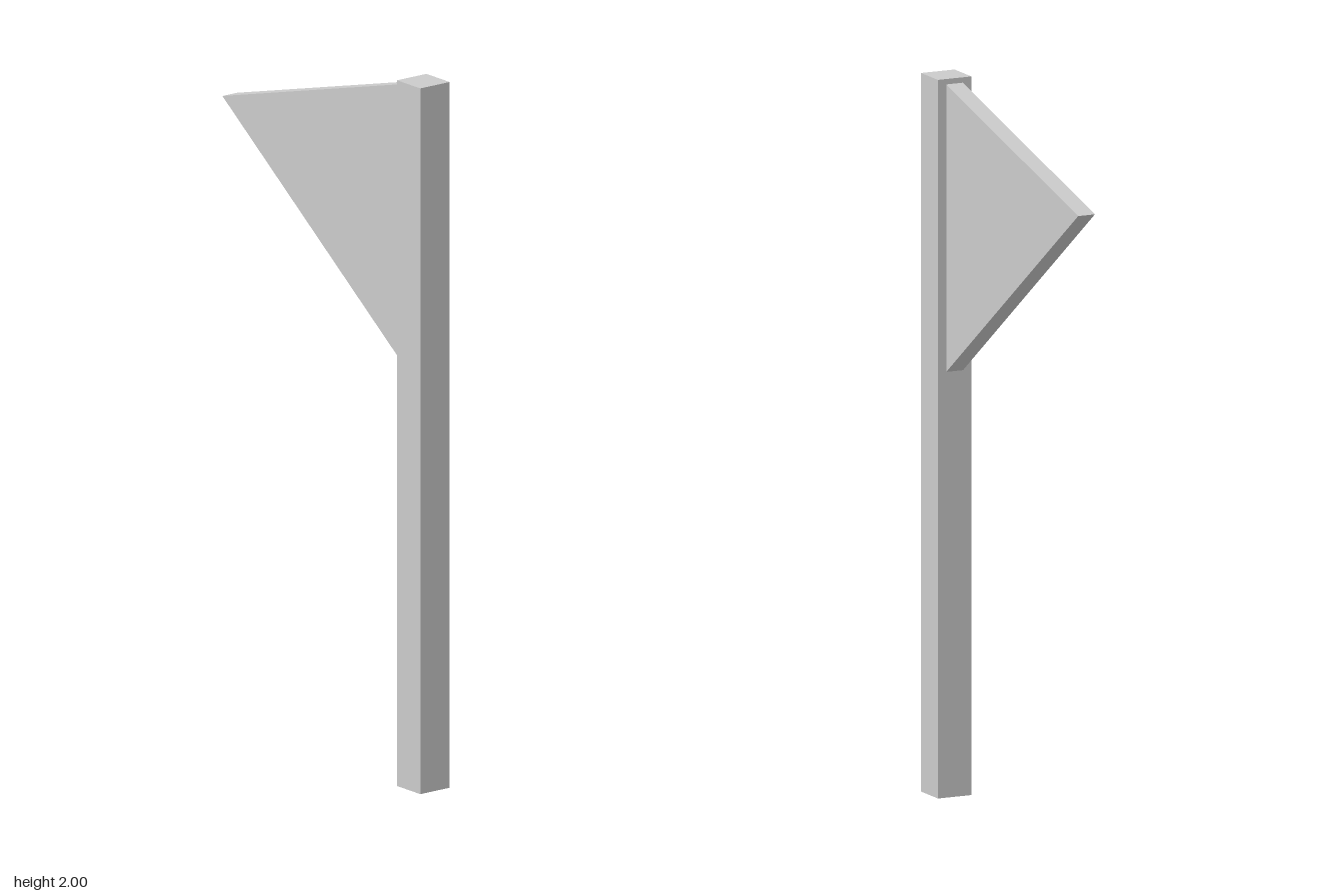
import * as THREE from 'three';

export function createModel() {
  const group = new THREE.Group();
  const material = new THREE.MeshStandardMaterial({ color: 0xcccccc, flatShading: true });

  // Square pole standing on the ground
  const poleWidth = 0.102;
  const poleZ = 0.45 - poleWidth / 2;
  const pole = new THREE.Mesh(new THREE.BoxGeometry(poleWidth, 2, poleWidth), material);
  pole.name = 'pole';
  pole.position.set(0, 1, poleZ);
  group.add(pole);

  // Triangular pennant, drawn with its length along x, then turned to point backwards
  const thickness = 0.051;
  const attachX = -(poleZ - poleWidth / 2);
  const outline = new THREE.Shape([
    new THREE.Vector2(attachX, 1.185),
    new THREE.Vector2(0.45, 1.77),
    new THREE.Vector2(attachX, 1.985),
  ]);
  const flagGeometry = new THREE.ExtrudeGeometry(outline, { depth: thickness, bevelEnabled: false });
  flagGeometry.translate(0, 0, -thickness / 2);
  flagGeometry.rotateY(Math.PI / 2);
  const flag = new THREE.Mesh(flagGeometry, material);
  flag.name = 'flag';
  group.add(flag);

  return group;
}
